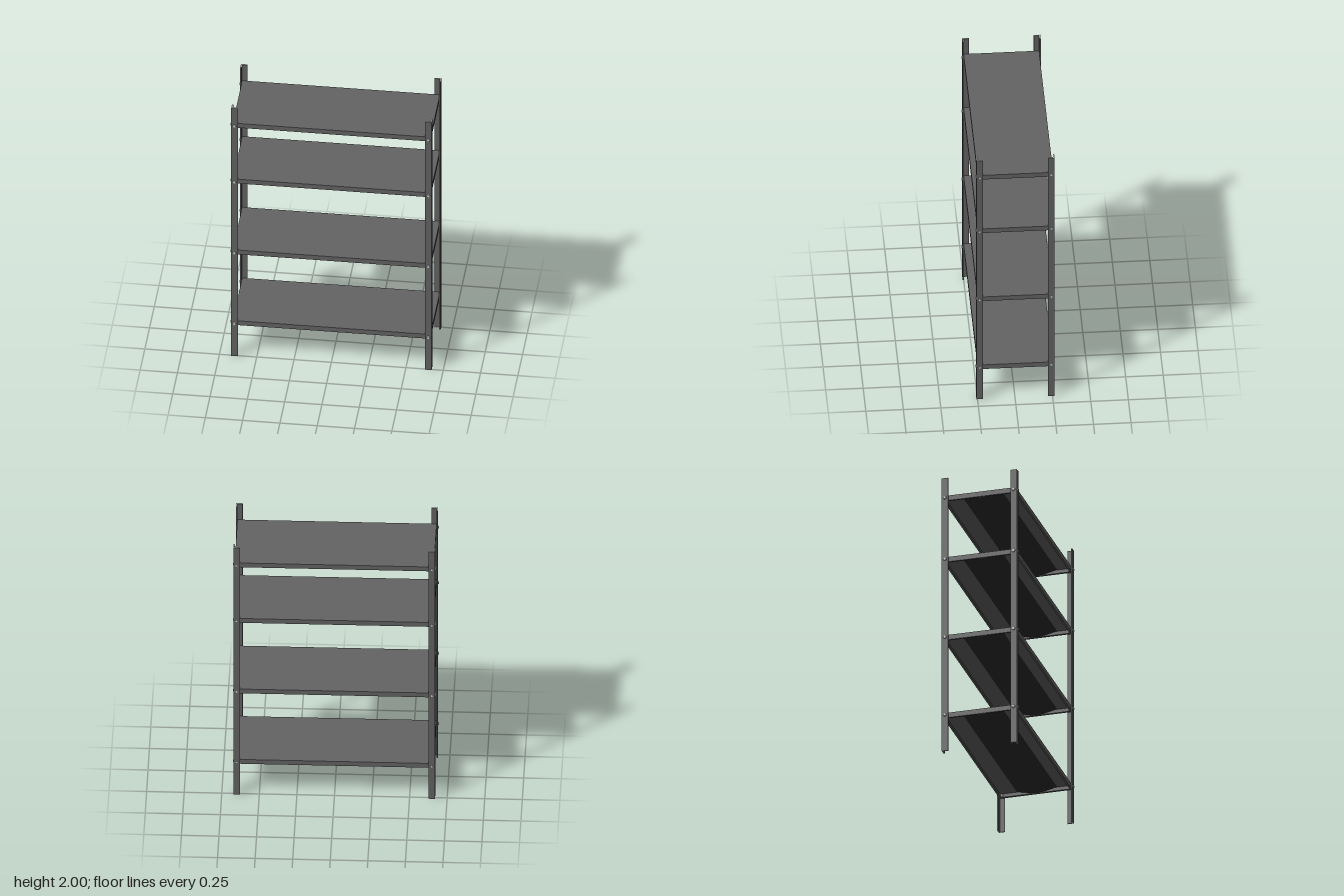
import * as THREE from 'three';

const steel = new THREE.MeshStandardMaterial({ color: 0x646464 });
steel.name = 'dark grey steel';
const bare = new THREE.MeshStandardMaterial({ color: 0xd0d0d0 });
bare.name = 'bare light metal';
const black = new THREE.MeshStandardMaterial({ color: 0x2d2d2d });
black.name = 'black stiffener';

// outer limits of the uprights
const X0 = -0.67, X1 = 0.673, Z0 = -0.264, Z1 = 0.257;
const LEG = 0.044, WALL = 0.009;
const SHELF_TOPS = [0.28, 0.851, 1.423, 1.873];
const SHELF_H = 0.035, SHEET = 0.004;

function add(parent, name, geometry, material, x = 0, y = 0, z = 0) {
  const mesh = new THREE.Mesh(geometry, material);
  mesh.name = name;
  mesh.position.set(x, y, z);
  parent.add(mesh);
  return mesh;
}

function box(parent, name, x0, x1, y0, y1, z0, z1) {
  return add(parent, name, new THREE.BoxGeometry(x1 - x0, y1 - y0, z1 - z0), steel,
    (x0 + x1) / 2, (y0 + y1) / 2, (z0 + z1) / 2);
}

// L-section upright with bare cut ends, legs running inwards along sx and sz
function upright(x, z, sx, sz) {
  const pts = [[0, 0], [LEG, 0], [LEG, WALL], [WALL, WALL], [WALL, LEG], [0, LEG]]
    .map(([a, b]) => new THREE.Vector2(a * sx, -b * sz));
  const geometry = new THREE.ExtrudeGeometry(new THREE.Shape(pts), { depth: 2, bevelEnabled: false });
  geometry.rotateX(-Math.PI / 2);
  const post = new THREE.Group();
  post.name = 'upright';
  add(post, 'angleUpright', geometry, [bare, steel], x, 0, z);
  return post;
}

// folded tray: top sheet, four flanges with return lips, stiffener underneath
function shelf(top) {
  const g = new THREE.Group();
  g.name = 'shelf';
  const x0 = X0 + WALL, x1 = X1 - WALL, z0 = Z0 + WALL, z1 = Z1 - WALL;
  const t = SHEET, lip = 0.014, low = top - SHELF_H;
  box(g, 'shelfSheet', x0, x1, top - t, top, z0, z1);
  for (const [a, b, c] of [[z0, z0 + t, z0 + lip], [z1, z1 - t, z1 - lip]]) {
    box(g, 'longFlange', x0, x1, low, top - t, Math.min(a, b), Math.max(a, b));
    box(g, 'longLip', x0 + t, x1 - t, low, low + t, Math.min(b, c), Math.max(b, c));
  }
  for (const [a, b, c] of [[x0, x0 + t, x0 + lip], [x1, x1 - t, x1 - lip]]) {
    box(g, 'endFlange', Math.min(a, b), Math.max(a, b), low, top - t, z0 + t, z1 - t);
    box(g, 'endLip', Math.min(b, c), Math.max(b, c), low, low + t, z0 + lip, z1 - lip);
  }
  // shallow V-shaped stiffener along the length
  const vee = new THREE.Shape([[-0.14, 0], [0, -SHELF_H + t - 0.002], [0.14, 0]]
    .map(([a, b]) => new THREE.Vector2(a, b)));
  const rib = new THREE.ExtrudeGeometry(vee, { depth: x1 - x0 - 0.02, bevelEnabled: false });
  rib.rotateY(Math.PI / 2);
  add(g, 'stiffener', rib, black, x0 + 0.01, top - t, 0.005);
  return g;
}

// bolt pointing its head along (dx, dz); x, z mark the seat under the head
function bolt(parent, x, y, z, dx, dz) {
  const b = new THREE.Group();
  b.name = 'bolt';
  const shank = WALL + SHEET + 0.001;
  add(b, 'boltHead', new THREE.CylinderGeometry(0.009, 0.012, 0.006, 12), bare, 0, 0.003, 0);
  add(b, 'boltShank', new THREE.CylinderGeometry(0.007, 0.007, shank, 12), bare, 0, -shank / 2, 0);
  b.position.set(x, y, z);
  b.quaternion.setFromUnitVectors(new THREE.Vector3(0, 1, 0), new THREE.Vector3(dx, 0, dz));
  parent.add(b);
}

export function createModel() {
  const model = new THREE.Group();
  model.name = 'shelvingUnit';

  for (const [x, sx] of [[X0, 1], [X1, -1]]) {
    for (const [z, sz] of [[Z0, 1], [Z1, -1]]) model.add(upright(x, z, sx, sz));
  }

  // all bolts face forwards or to -x, so the far ones show only their tips outside
  const mid = LEG / 2, inner = WALL + SHEET;
  for (const top of SHELF_TOPS) {
    model.add(shelf(top));
    const bolts = new THREE.Group();
    bolts.name = 'bolts';
    const y = top - SHELF_H / 2;
    for (const x of [X0 + mid, X1 - mid]) {
      bolt(bolts, x, y, Z1, 0, 1);
      bolt(bolts, x, y, Z0 + inner, 0, 1);
    }
    for (const z of [Z0 + mid, Z1 - mid]) {
      bolt(bolts, X0, y, z, -1, 0);
      bolt(bolts, X1 - inner, y, z, -1, 0);
    }
    model.add(bolts);
  }
  return model;
}
